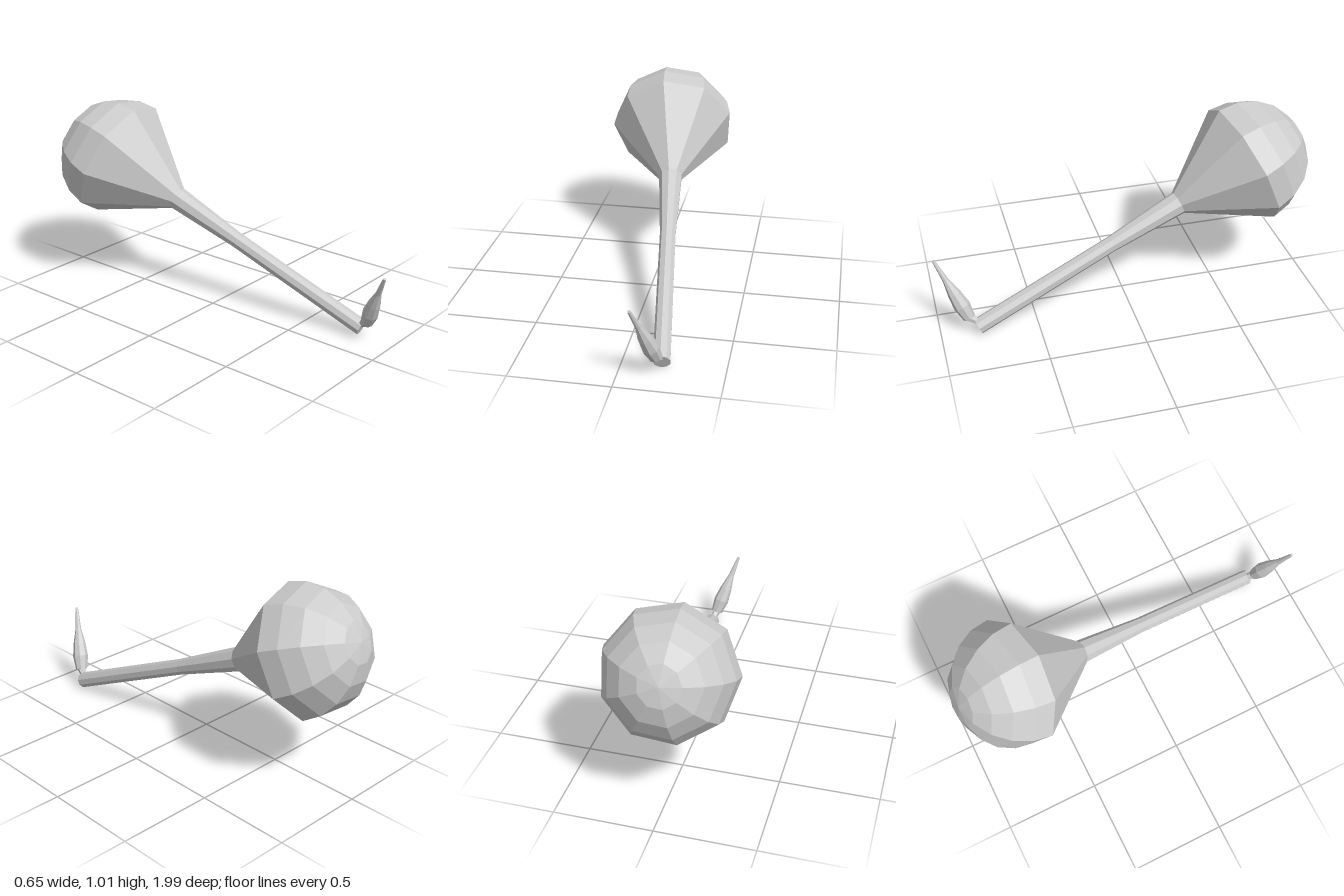
import * as THREE from 'three';

const material = new THREE.MeshStandardMaterial({ color: 0xcccccc, flatShading: true });

// Lathe a [radius, height] profile along the line from start towards end,
// with the first column of corners turned towards "up".
function turned(name, profile, sides, start, end, up) {
  const axis = end.clone().sub(start).normalize();
  const z = up.clone().addScaledVector(axis, -up.dot(axis)).normalize();
  const x = new THREE.Vector3().crossVectors(axis, z);
  const geometry = new THREE.LatheGeometry(profile.map(([r, h]) => new THREE.Vector2(r, h)), sides);
  geometry.applyMatrix4(new THREE.Matrix4().makeBasis(x, axis, z).setPosition(start));
  const mesh = new THREE.Mesh(geometry, material);
  mesh.name = name;
  return mesh;
}

export function createModel() {
  const group = new THREE.Group();
  group.name = 'gourdInstrument';

  const foot = new THREE.Vector3(0.198, 0.043, 0.81);
  const bulbCentre = new THREE.Vector3(0.004, 0.68, -0.66);
  const up = new THREE.Vector3(-0.034, 0.305, 0.13);
  const length = foot.distanceTo(bulbCentre);
  const neck = 1.21;
  const radius = 0.336;

  // Slender handle, flaring a little where it meets the bulb
  group.add(turned('handle',
    [[0, 0], [0.043, 0], [0.042, 0.8], [0.063, neck]], 9, foot, bulbCentre, up));

  // Bulb: cone out of the neck, closed by a half sphere
  const bulb = [[0.063, neck]];
  const steps = 5;
  for (let i = 0; i <= steps; i++) {
    const a = (i / steps) * Math.PI / 2;
    bulb.push([i === steps ? 0 : radius * Math.cos(a), length + radius * Math.sin(a)]);
  }
  group.add(turned('bulb', bulb, 9, foot, bulbCentre, up));

  // Pointed mouthpiece rising from the end of the handle
  const base = new THREE.Vector3(0.178, 0.092, 0.85);
  const tip = new THREE.Vector3(0.082, 0.4, 0.993);
  group.add(turned('mouthpiece',
    [[0, 0], [0.032, 0], [0.043, 0.075], [0.034, 0.15], [0.016, 0.235], [0.008, 0.355], [0, 0.355]],
    8, base, tip, new THREE.Vector3(0, 0, 1)));

  // Short stem joining mouthpiece and handle
  const root = new THREE.Vector3(0.193, 0.062, 0.8);
  group.add(turned('stem', [[0.016, 0], [0.024, root.distanceTo(base) + 0.01]],
    6, root, base, new THREE.Vector3(0, 1, 0)));

  return group;
}
